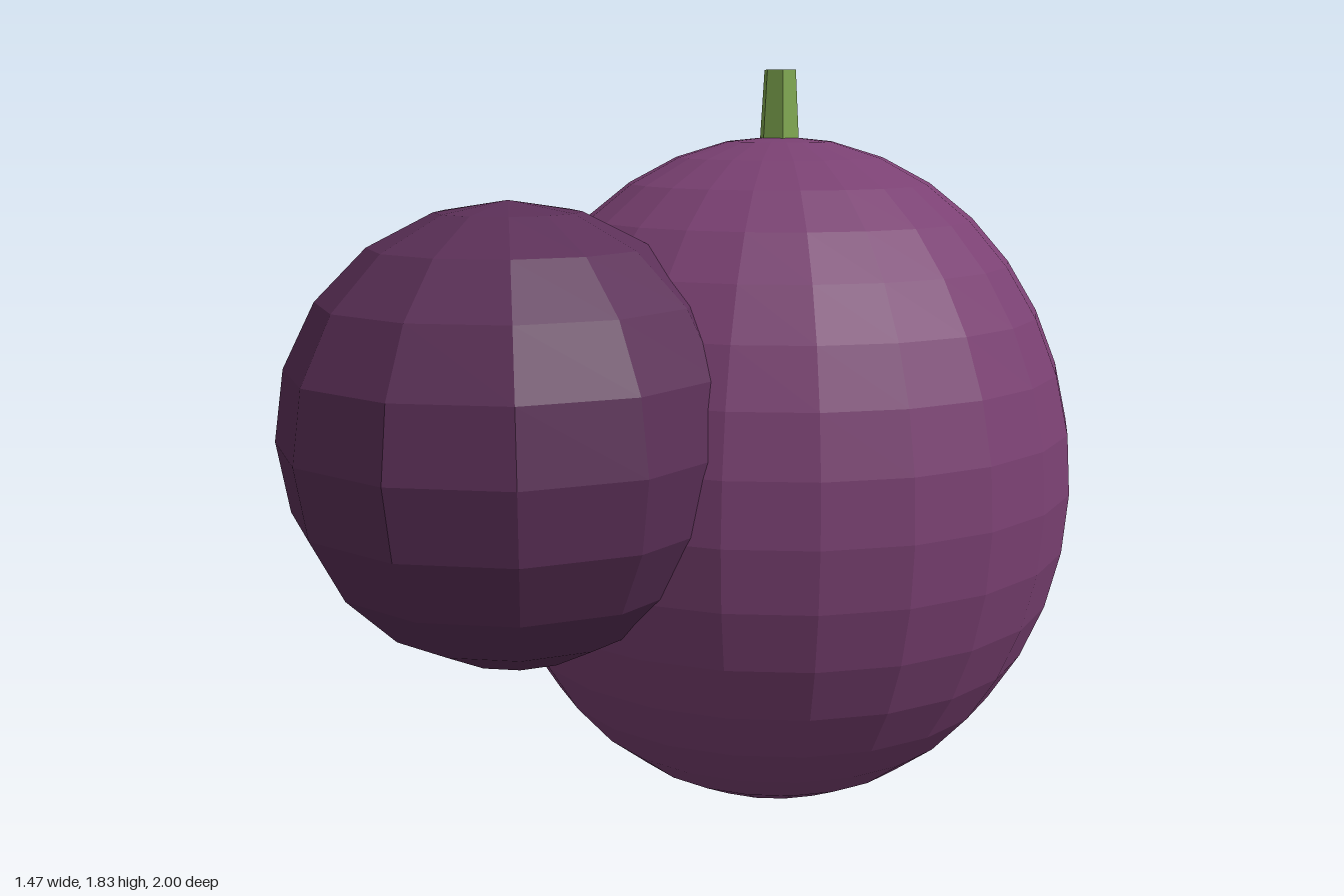
import * as THREE from 'three';

export function createModel() {
  const group = new THREE.Group();

  const add = (name, geometry, color, position, side = THREE.FrontSide) => {
    const material = new THREE.MeshStandardMaterial({ color, flatShading: true, side });
    const mesh = new THREE.Mesh(geometry, material);
    mesh.name = name;
    mesh.position.set(...position);
    group.add(mesh);
    return mesh;
  };

  // Large fruit body, a faceted sphere stretched upward
  const body = add('body', new THREE.SphereGeometry(0.735, 22, 18), 0x7b4173, [0, 0.837, -0.272]);
  body.scale.y = 0.837 / 0.735;

  // Smaller, darker lobe set into the front
  add('frontLobe', new THREE.SphereGeometry(0.527, 12, 10), 0x5c3058, [-0.036, 1.018, 0.473]);

  // Open six-sided stem, tapering upward
  add('stem', new THREE.CylinderGeometry(0.04, 0.051, 0.18, 6, 1, true), 0x80a850,
    [0, 1.74, -0.272], THREE.DoubleSide);

  return group;
}
